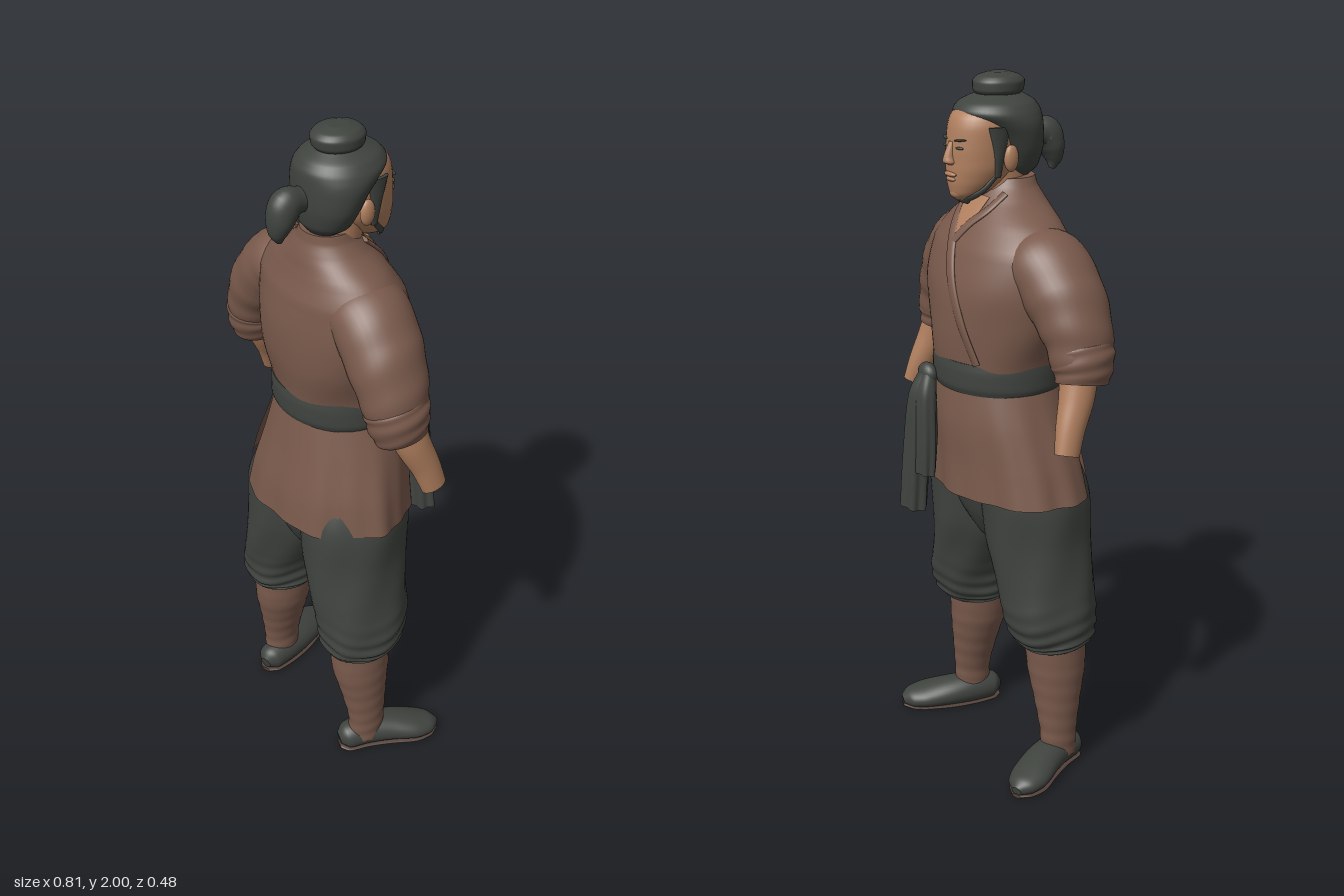
import * as THREE from 'three';

const mat = (name, color, side = THREE.FrontSide) => {
  const m = new THREE.MeshStandardMaterial({ color, side });
  m.name = name;
  return m;
};
const V3 = (x, y, z) => new THREE.Vector3(x, y, z);

// Smooth loft through sections [x, y, z, rx, rz]. Rings lie level, or square to the path.
// fold(angle, t) scales each ring; arc = [from, to] in degrees leaves the ring open.
function loft(secs, { level = false, rows = 32, cols = 36, fold = () => 1, arc = null, minY = 0 } = {}) {
  const path = new THREE.CatmullRomCurve3(secs.map(s => V3(s[0], s[1], s[2])));
  const size = new THREE.CatmullRomCurve3(secs.map(s => V3(s[3], s[4], 0)));
  const pos = [], idx = [], n = arc ? cols + 1 : cols;
  const [a0, a1] = (arc || [0, 360]).map(THREE.MathUtils.degToRad);
  for (let i = 0; i <= rows; i++) {
    const t = i / rows, c = path.getPoint(t), r = size.getPoint(t);
    const T = level ? V3(0, 1, 0) : path.getTangent(t);
    const U = V3(1, 0, 0).addScaledVector(T, -T.x).normalize(), W = U.clone().cross(T);
    for (let j = 0; j < n; j++) {
      const a = a0 + (a1 - a0) * j / cols, k = fold(a, t);
      const p = c.clone().addScaledVector(U, Math.cos(a) * r.x * k).addScaledVector(W, Math.sin(a) * r.y * k);
      pos.push(p.x, Math.max(p.y, minY), p.z);
    }
  }
  for (let i = 0; i < rows; i++) for (let j = 0; j < cols; j++) {
    const a = i * n + j, b = i * n + (j + 1) % n;
    idx.push(a, a + n, b, b, a + n, b + n);
  }
  // End caps with their own corners, so the rims stay sharp
  if (!arc) for (const end of [0, rows]) {
    const start = pos.length / 3, c = path.getPoint(end / rows);
    for (let j = 0; j < n; j++) pos.push(...pos.slice((end * n + j) * 3, (end * n + j) * 3 + 3));
    pos.push(c.x, Math.max(c.y, minY), c.z);
    for (let j = 0; j < n; j++) {
      const a = start + j, b = start + (j + 1) % n;
      end ? idx.push(a, start + n, b) : idx.push(a, b, start + n);
    }
  }
  const g = new THREE.BufferGeometry();
  g.setAttribute('position', new THREE.Float32BufferAttribute(pos, 3));
  g.setIndex(idx);
  g.computeVertexNormals();
  return g;
}

const TORSO = [
  [.01, 1.16, 0, .185, .163], [.01, 1.25, 0, .2, .174], [.012, 1.35, .008, .232, .182],
  [.015, 1.45, .012, .252, .178], [.018, 1.55, .022, .25, .155], [.022, 1.615, .032, .195, .124],
  [.03, 1.665, .045, .118, .098], [.036, 1.70, .052, .084, .078], [.04, 1.725, .056, .072, .07]];

// Point lying on the chest at a given x and y
function onChest(x, y, lift = .002) {
  const i = Math.max(1, TORSO.findIndex(s => s[1] >= y));
  const k = (y - TORSO[i - 1][1]) / (TORSO[i][1] - TORSO[i - 1][1]);
  const [cx, , cz, rx, rz] = TORSO[i].map((v, q) => THREE.MathUtils.lerp(TORSO[i - 1][q], v, k));
  return [x, y, cz - rz * Math.sqrt(Math.max(0, 1 - ((x - cx) / rx) ** 2)) - lift];
}

export function createModel() {
  const root = new THREE.Group();
  const brown = mat('brown cloth', 0x7a5a4c), brownOpen = mat('brown cloth open', 0x7a5a4c, THREE.DoubleSide);
  const dark = mat('dark cloth and hair', 0x40443f), skin = mat('skin', 0xb07f5e);
  const sole = mat('sole', 0x54413a);
  const add = (name, geo, m) => {
    const mesh = new THREE.Mesh(geo, m);
    mesh.name = name;
    root.add(mesh);
    return mesh;
  };
  const ball = (name, m, p, s) => {
    const mesh = add(name, new THREE.SphereGeometry(1, 20, 14), m);
    mesh.position.set(...p);
    mesh.scale.set(...s);
    return mesh;
  };

  // Jacket
  add('jacketBody', loft(TORSO, {
    level: true, rows: 48, cols: 56,
    fold: (a, t) => 1 + .014 * Math.sin(5 * a + 14 * t) * Math.max(0, 1 - 1.4 * t)
  }), brown);
  const lapel = (pts, w) => loft(pts.map(([x, y]) => [...onChest(x, y), w, .006]), { cols: 12 });
  add('outerLapel', lapel([[-.1, 1.25], [-.055, 1.36], [0, 1.47], [.045, 1.56], [.088, 1.63], [.1, 1.685]], .017), brown);
  add('innerLapel', lapel([[.045, 1.56], [.01, 1.61], [-.025, 1.65], [-.035, 1.69]], .014), brown);
  add('openNeck', loft([[1.565, .004], [1.6, .022], [1.64, .043], [1.68, .052]].map(
    ([y, w]) => [...onChest(.04, y, .001), w, .004]), { cols: 16 }), skin);

  // Skirt panels, split at the sides
  const skirt = [[0, .855, .026, .285, .195], [.005, .95, .02, .262, .19], [.01, 1.07, .005, .225, .18], [.01, 1.18, 0, .188, .164]];
  const pleat = (a, t) => 1 + (1 - t) * (.025 * Math.sin(7 * a + .6) + .012 * Math.sin(15 * a));
  add('skirtBack', loft(skirt.map(s => [s[0], s[1] - .012, s[2], s[3], s[4] * 1.04]),
    { level: true, arc: [38, 123], cols: 40, fold: pleat }), brownOpen);
  add('skirtFront', loft(skirt, { level: true, arc: [147, 402], cols: 90, fold: pleat }), brownOpen);

  // Belt, knot and hanging tails
  add('belt', loft([[.01, 1.16, 0, .192, .17], [.01, 1.18, 0, .198, .177], [.01, 1.22, 0, .198, .178], [.01, 1.248, 0, .196, .174]],
    { level: true, rows: 12, cols: 56 }), dark);
  ball('beltKnot', dark, [.1, 1.18, -.178], [.036, .032, .024]);
  const ruffle = (a, t) => 1 + .14 * t * Math.sin(6 * a);
  add('longSashTail', loft([[.1, 1.18, -.18, .026, .022], [.112, 1.12, -.193, .036, .034], [.13, .95, -.2, .042, .036], [.145, .77, -.206, .046, .033]], { fold: ruffle }), dark);
  add('shortSashTail', loft([[.09, 1.18, -.18, .022, .02], [.084, 1.12, -.193, .03, .028], [.08, 1, -.197, .032, .028], [.085, .89, -.2, .034, .024]], { fold: ruffle }), dark);

  // Seat and low crotch of the trousers
  add('trouserSeat', loft([[0, .64, .04, .02, .05], [0, .7, .038, .07, .1], [0, .78, .035, .17, .14], [.005, .87, .03, .22, .16],
    [.005, .97, .02, .222, .165], [.01, 1.1, .005, .195, .16], [.01, 1.18, 0, .178, .155]], { level: true }), dark);

  for (const s of [1, -1]) {
    const side = s > 0 ? 'left' : 'right';
    const X = secs => secs.map(([x, ...rest]) => [.006 + s * x, ...rest]);

    // Baggy trouser leg gathered below the knee
    add(side + 'TrouserLeg', loft(X([
      [.2, .395, .06, .085, .095], [.198, .43, .054, .11, .126], [.192, .5, .046, .116, .142], [.166, .6, .045, .126, .15],
      [.142, .7, .04, .137, .156], [.132, .84, .033, .138, .16], [.1, 1, .01, .11, .14]]), {
      level: true, rows: 64, cols: 48,
      fold: (a, t) => 1 + Math.max(0, 1 - t * 2.2) * .05 * Math.sin(62 * t + 2.4 * Math.sin(2 * a + s)) + .018 * Math.sin(6 * a + 9 * t)
    }), dark);

    // Wrapped shin
    add(side + 'ShinWrap', loft(X([
      [.228, .04, .055, .045, .055], [.228, .12, .055, .047, .058], [.217, .22, .058, .062, .072], [.204, .32, .062, .08, .088], [.198, .42, .06, .086, .092]]), {
      level: true, rows: 72,
      fold: (a, t) => 1 + .016 * Math.sin(46 * t + 1.5 * Math.sin(a)) * (1 - t)
    }), brown);

    // Shoe turned outward, with a thin sole
    const shoe = X([
      [.203, .035, .138, .018, .02], [.21, .04, .115, .042, .042], [.224, .045, .05, .05, .048], [.25, .042, -.02, .057, .044],
      [.284, .034, -.085, .06, .036], [.303, .028, -.13, .046, .028], [.312, .022, -.155, .016, .014]]);
    add(side + 'Shoe', loft(shoe, { minY: .008 }), dark);
    add(side + 'Sole', loft(shoe.map(([x, , z, w]) => [x, .006, z, w * .93, .006])), sole);

    // Wide sleeve with a rolled cuff
    add(side + 'Sleeve', loft(X([
      [.1, 1.54, .03, .07, .09], [.185, 1.515, .03, .1, .115], [.252, 1.445, .037, .1, .112],
      [.303, 1.36, .042, .087, .1], [.328, 1.28, .04, .075, .086]]), {
      rows: 48, fold: (a, t) => 1 + .022 * t * Math.sin(26 * t + 2 * Math.sin(a)) }), brown);
    add(side + 'Cuff', loft(X([
      [.315, 1.33, .045, .078, .088], [.322, 1.305, .043, .083, .091], [.33, 1.265, .04, .077, .085], [.336, 1.23, .034, .064, .074]]), {
      rows: 24, fold: (a, t) => 1 + .02 * Math.sin(18 * t + 2 * a) }), brown);

    // Bare forearm, ending at the wrist
    add(side + 'Forearm', loft(X([
      [.33, 1.28, .03, .05, .055], [.348, 1.2, .008, .046, .05], [.366, 1.12, -.025, .036, .042], [.38, 1.055, -.045, .028, .037]])), skin);

    // Ear, sideburn, jaw beard, brow and eye
    const hx = x => .05 + s * x;
    ball(side + 'Ear', skin, [hx(.094), 1.785, .005], [.014, .036, .022]);
    add(side + 'Sideburn', loft([[hx(.088), 1.87, -.028, .012, .034], [hx(.086), 1.8, -.027, .009, .018], [hx(.079), 1.735, -.028, .005, .009]], { cols: 14 }), dark);
    add(side + 'JawBeard', loft([[hx(.076), 1.738, -.032, .004, .007], [hx(.06), 1.7, -.064, .004, .008], [hx(.03), 1.678, -.09, .004, .01], [hx(.003), 1.672, -.1, .004, .01]], { cols: 12 }), dark);
    const brow = ball(side + 'Brow', dark, [hx(.036), 1.836, -.119], [.02, .003, .005]);
    brow.rotation.set(0, s * -.4, s * .1);
    ball(side + 'Eye', dark, [hx(.035), 1.815, -.12], [.013, .0035, .004]).rotation.y = s * -.4;
  }

  // Neck and head, facing the far side
  add('neck', loft([[.04, 1.6, .04, .075, .08], [.045, 1.67, .035, .066, .07], [.05, 1.77, .02, .066, .075]], { level: true }), skin);
  add('face', loft([
    [.05, 1.672, -.08, .022, .03], [.05, 1.688, -.068, .045, .055], [.05, 1.72, -.045, .068, .084], [.05, 1.76, -.028, .084, .102],
    [.05, 1.81, -.02, .09, .108], [.05, 1.86, -.014, .093, .108], [.05, 1.895, -.01, .086, .1], [.05, 1.925, 0, .06, .075]], { level: true }), skin);
  add('nose', loft([[.05, 1.768, -.125, .012, .008], [.05, 1.776, -.13, .019, .018], [.05, 1.79, -.13, .014, .017], [.05, 1.83, -.121, .009, .009]], { level: true, cols: 16 }), skin);
  ball('upperLip', skin, [.05, 1.743, -.127], [.026, .007, .01]);
  ball('lowerLip', skin, [.05, 1.73, -.124], [.021, .007, .01]);
  ball('chin', skin, [.05, 1.692, -.105], [.026, .018, .02]);

  // Hair, topknot and tied tail
  add('hair', loft([
    [.05, 1.725, .075, .05, .04], [.05, 1.75, .072, .084, .062], [.05, 1.8, .066, .11, .078], [.05, 1.845, .053, .12, .092],
    [.05, 1.875, .038, .122, .107], [.05, 1.9, .023, .116, .12], [.05, 1.925, .022, .098, .105], [.052, 1.945, .028, .06, .066]], { level: true, rows: 40, cols: 48 }), dark);
  add('topknot', loft([
    [.055, 1.925, .03, .054, .06], [.055, 1.938, .03, .053, .06], [.055, 1.954, .031, .064, .071], [.055, 1.974, .032, .065, .073],
    [.055, 1.99, .032, .054, .06], [.055, 2, .032, .025, .028]], { level: true }), dark);
  add('hairTail', loft([
    [.05, 1.82, .12, .028, .03], [.05, 1.826, .155, .032, .036], [.05, 1.822, .186, .04, .046], [.048, 1.785, .204, .04, .037],
    [.046, 1.75, .21, .028, .024], [.045, 1.722, .205, .008, .008]]), dark);
  return root;
}
